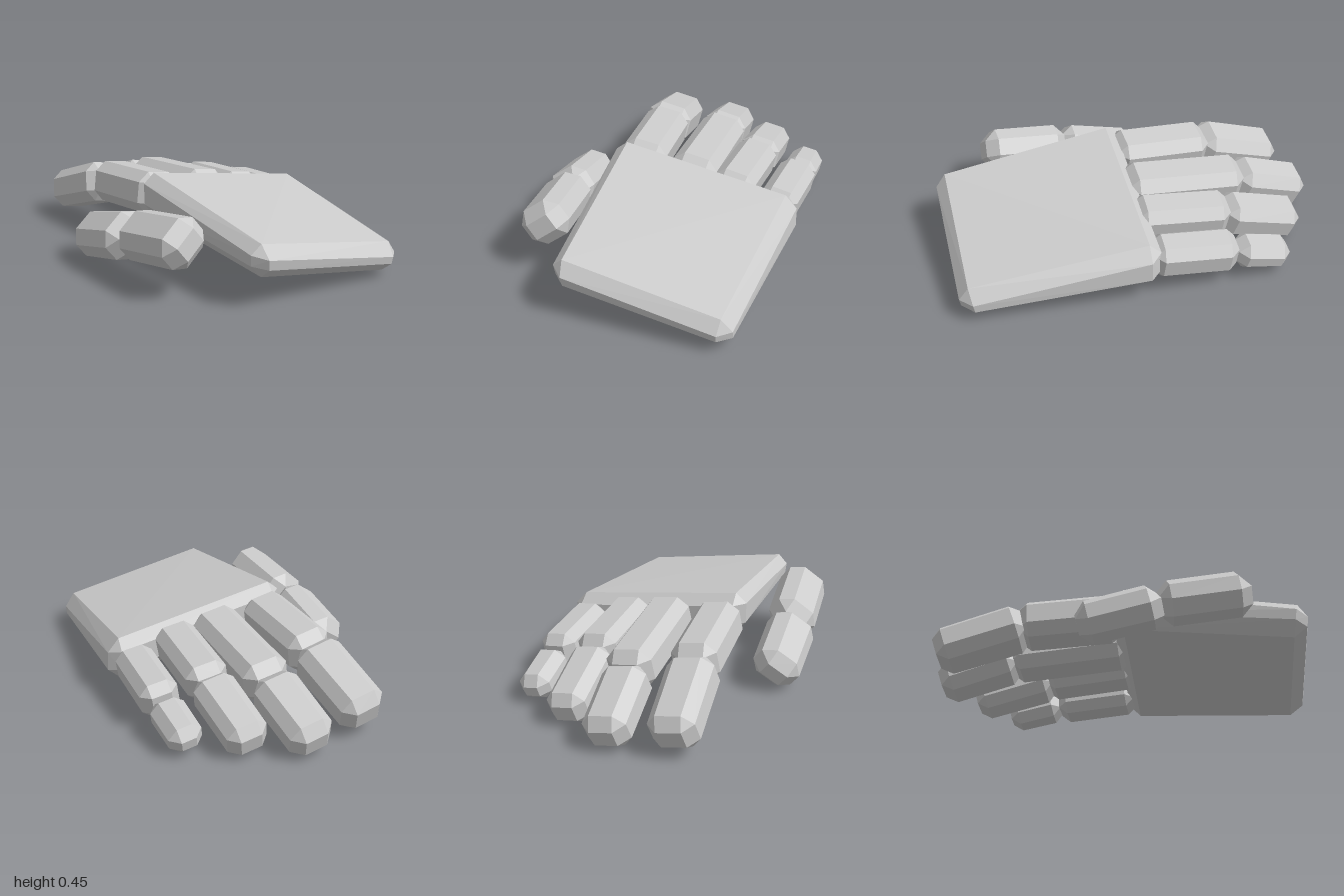
import * as THREE from 'three';
import { ConvexGeometry } from 'three/addons/geometries/ConvexGeometry.js';

const V = (x, y, z) => new THREE.Vector3(x, y, z);
const material = new THREE.MeshStandardMaterial({ color: 0xcccccc, flatShading: true });

// Chamfered six-sided block; corner index bits: 1 = +x, 2 = +y, 4 = +z
function chamferedBlock(name, corners, bevel) {
  const points = [];
  corners.forEach((corner, i) => {
    const steps = [1, 2, 4].map(bit =>
      corners[i ^ bit].clone().sub(corner).normalize().multiplyScalar(bevel));
    for (let axis = 0; axis < 3; axis++) {
      points.push(corner.clone().add(steps[(axis + 1) % 3]).add(steps[(axis + 2) % 3]));
    }
  });
  const mesh = new THREE.Mesh(new ConvexGeometry(points), material);
  mesh.name = name;
  return mesh;
}

// Finger bone running from a to b, rolled about its length and tapered at b
function bone(name, a, b, width, height, rollDegrees, taper, bevel) {
  const start = V(...a), end = V(...b);
  const back = start.clone().sub(end).normalize();
  const r = THREE.MathUtils.degToRad(rollDegrees);
  const side = V(Math.cos(r), Math.sin(r), 0);
  side.addScaledVector(back, -side.dot(back)).normalize();
  const up = back.clone().cross(side);
  const corners = [];
  for (let i = 0; i < 8; i++) {
    const atStart = i & 4;
    const s = atStart ? 0.5 : 0.5 * taper;
    corners.push((atStart ? start : end).clone()
      .addScaledVector(side, (i & 1 ? s : -s) * width)
      .addScaledVector(up, (i & 2 ? s : -s) * height));
  }
  return chamferedBlock(name, corners, bevel);
}

// Each digit: lower bone [from, to], upper bone [from, to], sizes [width, height], roll
const digits = [
  { name: 'indexFinger', roll: -9, bevel: 0.055,
    lower: [[-0.21, 0.335, 0.03], [-0.275, 0.295, -0.5]], lowerSize: [0.24, 0.22],
    upper: [[-0.28, 0.295, -0.465], [-0.355, 0.14, -0.915]], upperSize: [0.25, 0.22] },
  { name: 'middleFinger', roll: -9, bevel: 0.055,
    lower: [[0.075, 0.31, 0.025], [0.025, 0.25, -0.62]], lowerSize: [0.245, 0.22],
    upper: [[0.02, 0.245, -0.59], [-0.04, 0.105, -0.99]], upperSize: [0.24, 0.21] },
  { name: 'ringFinger', roll: -9, bevel: 0.05,
    lower: [[0.3, 0.275, 0.02], [0.285, 0.23, -0.48]], lowerSize: [0.22, 0.2],
    upper: [[0.285, 0.225, -0.455], [0.24, 0.105, -0.87]], upperSize: [0.22, 0.195] },
  { name: 'littleFinger', roll: -9, bevel: 0.048,
    lower: [[0.54, 0.21, -0.02], [0.53, 0.175, -0.46]], lowerSize: [0.2, 0.19],
    upper: [[0.53, 0.165, -0.46], [0.505, 0.1, -0.745]], upperSize: [0.18, 0.155] },
  { name: 'thumb', roll: 38, bevel: 0.06,
    lower: [[-0.435, 0.305, 0.72], [-0.51, 0.24, 0.27]], lowerSize: [0.25, 0.21],
    upper: [[-0.52, 0.235, 0.29], [-0.565, 0.135, -0.125]], upperSize: [0.25, 0.21] },
];

export function createModel() {
  const hand = new THREE.Group();
  hand.name = 'hand';

  // Palm: slopes down to the wrist and to the little finger, thicker at the knuckles
  hand.add(chamferedBlock('palm', [
    V(-0.34, 0.25, 0.0), V(0.67, 0.1, -0.06), V(-0.34, 0.485, 0.0), V(0.66, 0.325, -0.06),
    V(-0.23, 0.17, 0.985), V(0.64, 0.025, 0.925), V(-0.25, 0.34, 1.01), V(0.65, 0.18, 0.955),
  ], 0.06));

  // Digits: two bones each
  for (const d of digits) {
    const digit = new THREE.Group();
    digit.name = d.name;
    digit.add(
      bone(d.name + 'Lower', ...d.lower, ...d.lowerSize, d.roll, 1, d.bevel),
      bone(d.name + 'Upper', ...d.upper, ...d.upperSize, d.roll, 0.96, d.bevel));
    hand.add(digit);
  }
  return hand;
}
